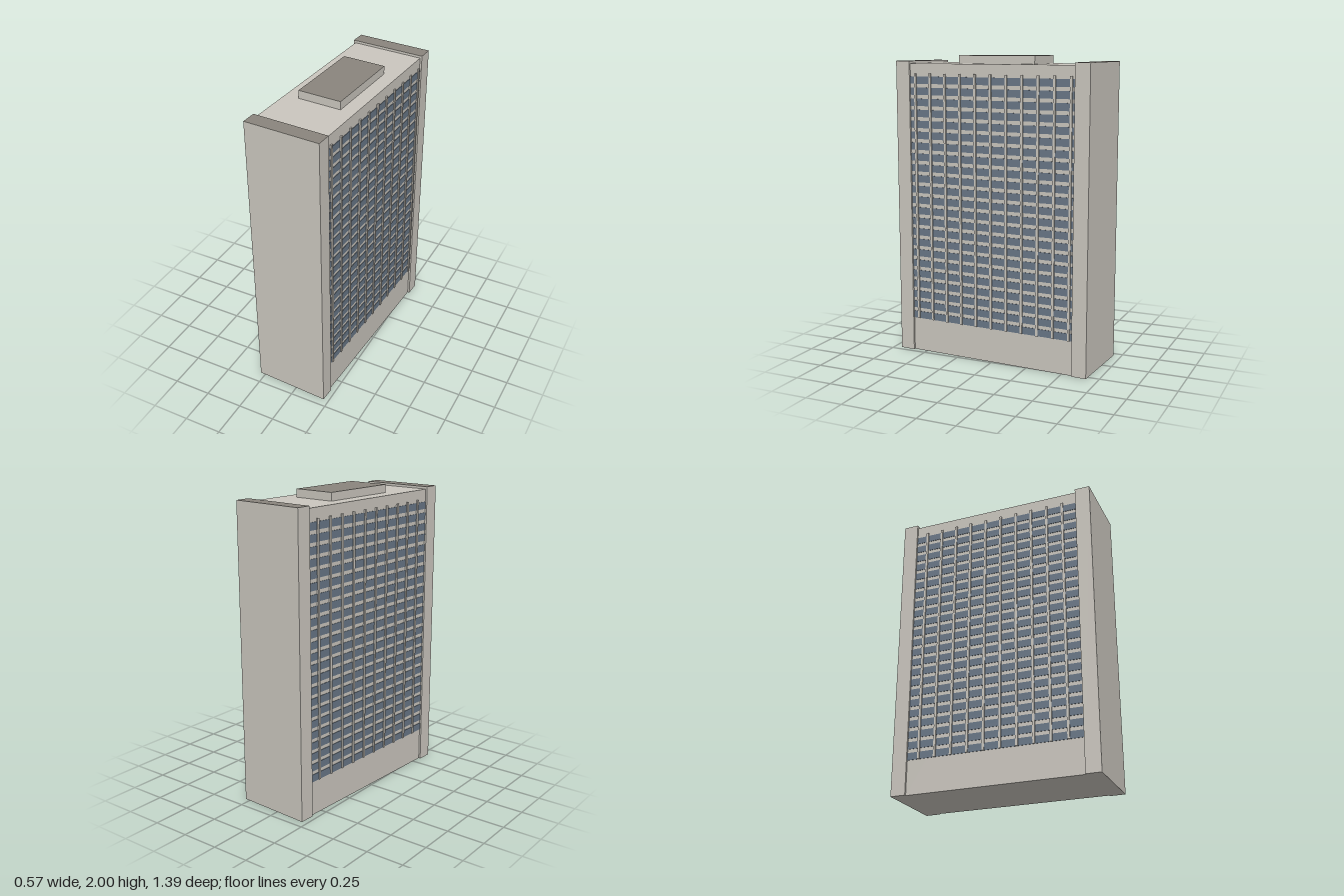
import * as THREE from 'three';

export function createModel() {
  const concrete = new THREE.MeshStandardMaterial({ color: 0xcac6be });
  concrete.name = 'pale concrete';
  const roofing = new THREE.MeshStandardMaterial({ color: 0x8a857d });
  roofing.name = 'grey roofing';
  const glass = new THREE.MeshStandardMaterial({ color: 0x687686 });
  glass.name = 'blue grey glass';
  // Box faces run +x, -x, +y, -y, +z, -z: only the top is roofing
  const capped = [concrete, concrete, roofing, concrete, concrete, concrete];

  const tower = new THREE.Group();
  tower.name = 'tower';

  // Box standing on y0, reaching y1
  function block(name, width, y0, y1, depth, x, z, material) {
    const mesh = new THREE.Mesh(new THREE.BoxGeometry(width, y1 - y0, depth), material);
    mesh.position.set(x, (y0 + y1) / 2, z);
    mesh.name = name;
    tower.add(mesh);
  }

  const coreHalf = 0.237;
  const coreTop = 1.947;

  // Main body, end walls and rooftop plant room
  block('core', coreHalf * 2, 0, coreTop, 1.17, 0, 0, concrete);
  block('frontEndWall', 0.5, 0, 1.963, 0.1, 0, 0.635, capped);
  block('backEndWall', 0.5, 0, 1.963, 0.1, 0, -0.635, capped);
  block('plantRoom', 0.286, coreTop, 2, 0.54, 0, 0, capped);

  for (const side of [1, -1]) {
    const label = side > 0 ? 'left' : 'right';

    // Ribbon windows, one per storey
    for (let floor = 0; floor < 23; floor++) {
      const y = 0.227 + floor * 0.0722;
      block(label + 'WindowBand', 0.004, y, y + 0.048, 1.17, side * (coreHalf + 0.001), 0, glass);
    }

    // Vertical fins, staggered by half a bay between the two sides
    const count = side > 0 ? 11 : 10;
    for (let i = 0; i < count; i++) {
      const z = (i - (count - 1) / 2) * 0.1105 - 0.008;
      block(label + 'Fin', 0.015, 0.227, 1.883, 0.015, side * (coreHalf + 0.0025), z, concrete);
    }
  }

  // The building stands slightly turned
  tower.rotation.y = -Math.PI / 60;
  const model = new THREE.Group();
  model.name = 'apartmentTower';
  model.add(tower);
  return model;
}
